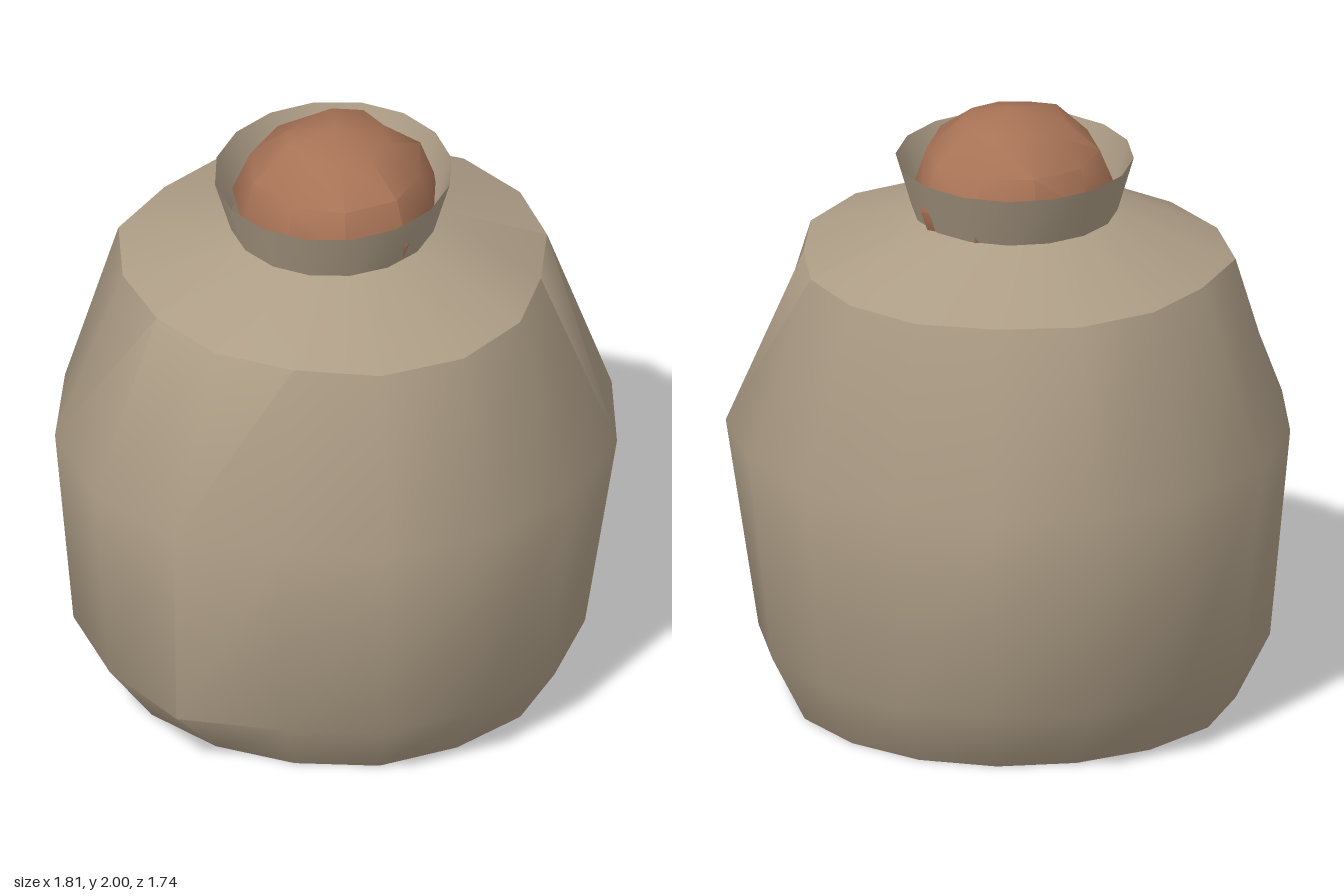
import * as THREE from 'three';
import { toCreasedNormals, mergeVertices } from 'three/addons/utils/BufferGeometryUtils.js';

const SIDES = 16;

// A ring of points: radii run from +x round through +z
function ring(y, radii, cx = 0, cz = 0, sz = 1) {
  return Array.from({ length: SIDES }, (_, k) => {
    const a = (k / SIDES) * Math.PI * 2;
    const r = Array.isArray(radii) ? radii[k] : radii;
    return [cx + Math.cos(a) * r, y, cz + Math.sin(a) * r * sz];
  });
}

// Skin the rings from bottom to top, with an optional flat base
function loft(rings, closeBase) {
  const points = rings.flat();
  const index = [];
  for (let i = 0; i < rings.length - 1; i++) {
    for (let k = 0; k < SIDES; k++) {
      const n = (k + 1) % SIDES;
      const a = i * SIDES + k, b = i * SIDES + n;
      index.push(a, a + SIDES, b, b, a + SIDES, b + SIDES);
    }
  }
  if (closeBase) {
    const centre = points.length;
    points.push([0, rings[0][0][1], 0]);
    for (let k = 0; k < SIDES; k++) index.push(centre, k, (k + 1) % SIDES);
  }
  const geometry = new THREE.BufferGeometry();
  geometry.setAttribute('position', new THREE.Float32BufferAttribute(points.flat(), 3));
  geometry.setIndex(index);
  return toCreasedNormals(geometry, 0.78);
}

export function createModel() {
  const group = new THREE.Group();
  const cloth = new THREE.MeshStandardMaterial({ color: 0xad9d86, side: THREE.DoubleSide });
  cloth.name = 'sackcloth';
  const clay = new THREE.MeshStandardMaterial({ color: 0xa87356 });
  clay.name = 'clay';

  const add = (name, geometry, material) => {
    const mesh = new THREE.Mesh(geometry, material);
    mesh.name = name;
    group.add(mesh);
  };

  // Bulging, slightly dented sack
  const neckRing = ring(1.655, 0.33, -0.02, 0.03, 1.03);
  add('sackBody', loft([
    ring(0, [0.70, 0.70, 0.69, 0.70, 0.69, 0.70, 0.72, 0.73, 0.73, 0.71, 0.68, 0.66, 0.655, 0.66, 0.67, 0.69]),
    ring(0.22, [0.80, 0.83, 0.83, 0.85, 0.84, 0.92, 0.88, 0.87, 0.84, 0.83, 0.82, 0.82, 0.80, 0.80, 0.79, 0.80]),
    ring(0.92, [0.905, 0.885, 0.885, 0.895, 0.855, 0.935, 0.94, 0.93, 0.905, 0.90, 0.857, 0.878, 0.873, 0.83, 0.877, 0.88]),
    ring(1.505, [0.655, 0.70, 0.73, 0.73, 0.70, 0.71, 0.70, 0.71, 0.73, 0.69, 0.695, 0.69, 0.67, 0.687, 0.68, 0.67]),
    neckRing,
  ], true), cloth);

  // Flared open neck
  add('sackNeck', loft([neckRing, ring(1.835, 0.382, -0.02, 0.025, 1.085)], false), cloth);

  // Lumpy contents showing in the opening
  const lump = new THREE.SphereGeometry(1, 10, 6);
  lump.deleteAttribute('uv');
  lump.deleteAttribute('normal');
  const p = lump.attributes.position;
  for (let i = 0; i < p.count; i++) {
    const x = p.getX(i), y = p.getY(i), z = p.getZ(i);
    const bump = Math.abs(y) > 0.99 ? 1 : 1 + 0.07 * Math.sin(5 * x + 1) * Math.cos(6 * z + 2 * y);
    p.setXYZ(i, x * 0.325 * bump - 0.01, 1.72 + y * 0.28 * bump, z * 0.335 * bump + 0.02);
  }
  add('contents', toCreasedNormals(mergeVertices(lump, 0.001), 0.78), clay);

  return group;
}
